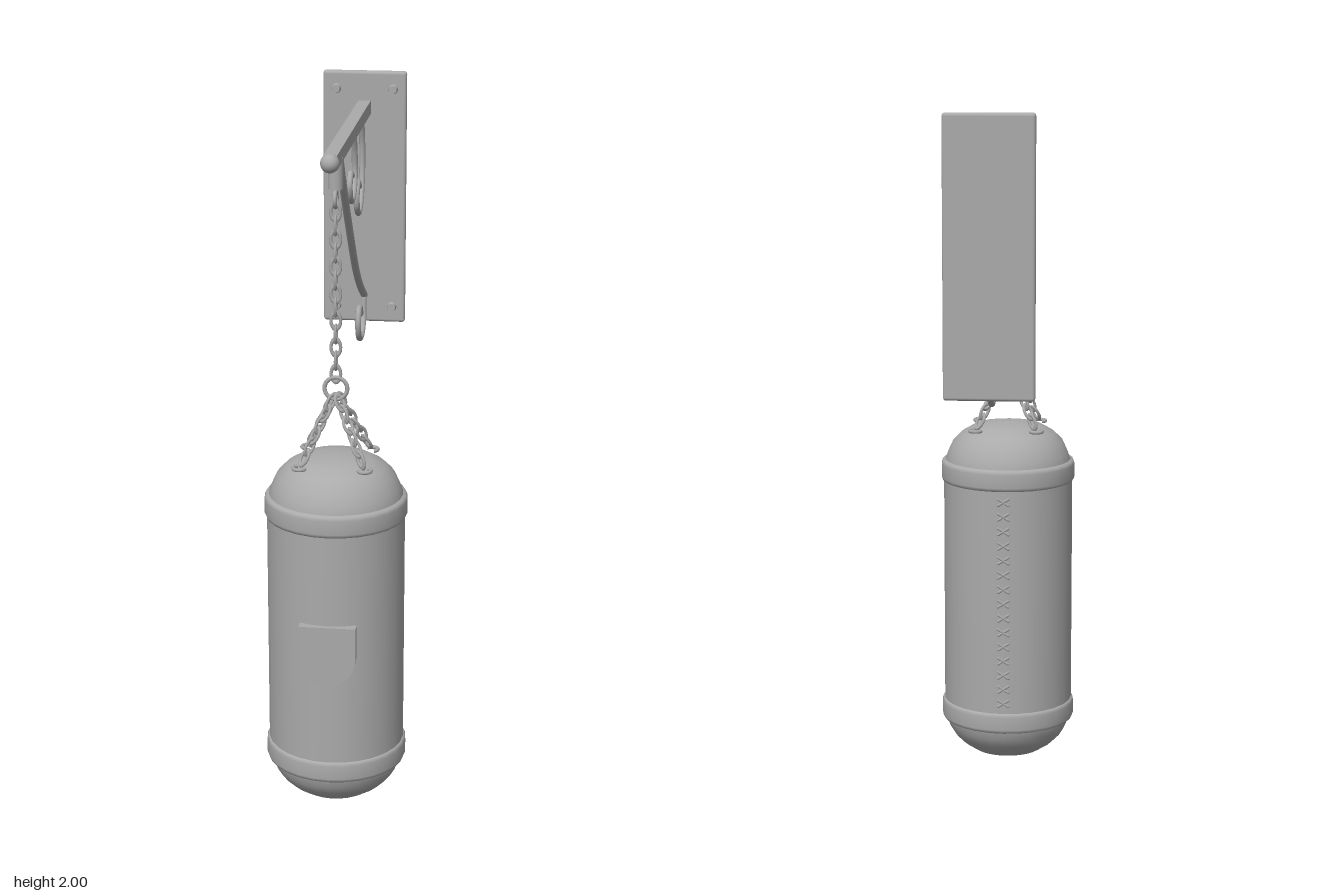
import * as THREE from 'three';
import { RoundedBoxGeometry } from 'three/addons/geometries/RoundedBoxGeometry.js';

const BAG_Z = 0.256;

export function createModel() {
  const model = new THREE.Group();
  model.name = 'hangingPunchBag';
  const grey = new THREE.MeshStandardMaterial({ color: 0xaaaaaa });
  grey.name = 'plainGrey';

  const add = (name, geometry, x = 0, y = 0, z = 0, parent = model) => {
    const mesh = new THREE.Mesh(geometry, grey);
    mesh.name = name;
    mesh.position.set(x, y, z);
    parent.add(mesh);
    return mesh;
  };
  const group = (name) => {
    const g = new THREE.Group();
    g.name = name;
    model.add(g);
    return g;
  };
  const lathe = (profile) => new THREE.LatheGeometry(profile.map(([r, y]) => new THREE.Vector2(r, y)), 28);
  const ball = (r) => new THREE.SphereGeometry(r, 16, 12);

  // Wall plate with four domed bolts
  add('wallPlate', new RoundedBoxGeometry(0.25, 0.77, 0.026, 3, 0.009), 0, 1.615, -0.453);
  for (const x of [-0.085, 0.085]) {
    for (const y of [1.28, 1.948]) {
      const bolt = add('plateBolt', new THREE.CylinderGeometry(0.012, 0.015, 0.014, 12), x, y, -0.434);
      bolt.rotation.x = Math.PI / 2;
    }
  }

  // Arm, ball tip and hanger socket
  add('arm', new THREE.BoxGeometry(0.037, 0.04, 0.815), 0, 1.893, -0.0325);
  add('armTip', ball(0.026), 0, 1.893, 0.375);
  add('hangerSocket', new THREE.CylinderGeometry(0.021, 0.021, 0.085, 20), 0, 1.842, BAG_Z);

  // Wrought brace and scrolls, drawn as [z, y] paths in the middle plane
  const rod = (name, path, r) => {
    const curve = new THREE.CatmullRomCurve3(path.map(([z, y]) => new THREE.Vector3(0, y, z)));
    add(name, new THREE.TubeGeometry(curve, 48, r, 10), 0, 0, 0);
    const [z, y] = path[path.length - 1];
    add(name + 'End', ball(r), 0, y, z);
  };
  rod('brace', [[0.175, 1.875], [0.085, 1.765], [-0.05, 1.62], [-0.21, 1.46], [-0.32, 1.38], [-0.44, 1.315]], 0.011);
  rod('innerScroll', [[-0.155, 1.88], [-0.185, 1.805], [-0.19, 1.745], [-0.16, 1.698], [-0.115, 1.682],
    [-0.075, 1.7], [-0.062, 1.738], [-0.085, 1.768], [-0.115, 1.755]], 0.009);
  rod('outerScroll', [[-0.353, 1.88], [-0.38, 1.79], [-0.375, 1.695], [-0.338, 1.632], [-0.285, 1.607],
    [-0.243, 1.635], [-0.24, 1.68], [-0.27, 1.704], [-0.298, 1.685]], 0.009);
  rod('lowerScroll', [[-0.432, 1.312], [-0.422, 1.25], [-0.39, 1.215], [-0.35, 1.205], [-0.3, 1.222],
    [-0.28, 1.265], [-0.295, 1.305], [-0.328, 1.305], [-0.342, 1.282]], 0.009);

  // Chains: oval links, every second one turned a quarter
  const linkGeometry = new THREE.TorusGeometry(0.0135, 0.0045, 6, 16).scale(1, 1.7, 1);
  const chain = (name, from, to, count, yaw = 0) => {
    const g = group(name);
    const dir = to.clone().sub(from);
    g.position.copy(from);
    g.quaternion.setFromUnitVectors(new THREE.Vector3(0, 1, 0), dir.clone().normalize());
    for (let i = 0; i < count; i++) {
      const link = add('link', linkGeometry, 0, dir.length() * (i + 0.5) / count, 0, g);
      link.rotation.y = yaw + (i % 2) * Math.PI / 2;
    }
  };
  add('topRing', new THREE.TorusGeometry(0.022, 0.006, 8, 20), 0, 1.771, BAG_Z).rotation.y = Math.PI / 2;
  chain('mainChain', new THREE.Vector3(0, 1.755, BAG_Z), new THREE.Vector3(0, 1.258, BAG_Z), 13);
  add('gatherRing', new THREE.TorusGeometry(0.032, 0.006, 8, 24), 0, 1.235, BAG_Z);

  // Four spreading chains, each ending in an eye on the bag
  const eye = new THREE.TorusGeometry(0.018, 0.0055, 6, 16, Math.PI * 1.25);
  for (const sx of [-1, 1]) {
    for (const sz of [-1, 1]) {
      const end = new THREE.Vector3(sx * 0.085, 1.04, BAG_Z + sz * 0.085);
      chain('spreadChain', new THREE.Vector3(sx * 0.006, 1.212, BAG_Z + sz * 0.006), end, 6, Math.PI / 4);
      const hook = add('bagEye', eye, sx * 0.091, 1.028, BAG_Z + sz * 0.091);
      hook.rotation.set(Math.PI / 2, 0, Math.atan2(sz, sx) - Math.PI * 0.625);
    }
  }

  // Bag body with rounded ends
  add('bagBody', lathe([[0, 0], [0.085, 0.005], [0.105, 0.012], [0.14, 0.035], [0.165, 0.06], [0.18, 0.085],
    [0.193, 0.12], [0.196, 0.18], [0.196, 0.86], [0.193, 0.92], [0.182, 0.95], [0.167, 0.983],
    [0.14, 1.01], [0.1, 1.032], [0.05, 1.041], [0, 1.043]]), 0, 0, BAG_Z);
  for (const y of [0.145, 0.895]) {
    add('bagBand', lathe([[0.188, -0.034], [0.199, -0.03], [0.203, -0.02], [0.203, 0.02],
      [0.199, 0.03], [0.188, 0.034]]), 0, y, BAG_Z);
  }

  // Shield patch on the front
  const shield = new THREE.Shape();
  shield.moveTo(-0.08, 0.6);
  shield.lineTo(-0.08, 0.505);
  shield.quadraticCurveTo(-0.075, 0.44, 0, 0.408);
  shield.quadraticCurveTo(0.075, 0.44, 0.08, 0.505);
  shield.lineTo(0.08, 0.6);
  shield.closePath();
  add('shieldPatch', new THREE.ExtrudeGeometry(shield, { depth: 0.037, bevelEnabled: false, curveSegments: 10 }), 0, 0, 0.428);

  // Back seam with crossed laces
  const backZ = BAG_Z - 0.197;
  add('seam', new THREE.BoxGeometry(0.007, 0.67, 0.006), 0, 0.52, backZ);
  const lace = new THREE.CapsuleGeometry(0.004, 0.036, 3, 6);
  for (let i = 0; i < 15; i++) {
    for (const s of [-1, 1]) {
      add('lace', lace, 0, 0.21 + i * 0.0445, backZ - 0.002).rotation.z = s * 1.0;
    }
  }
  return model;
}
